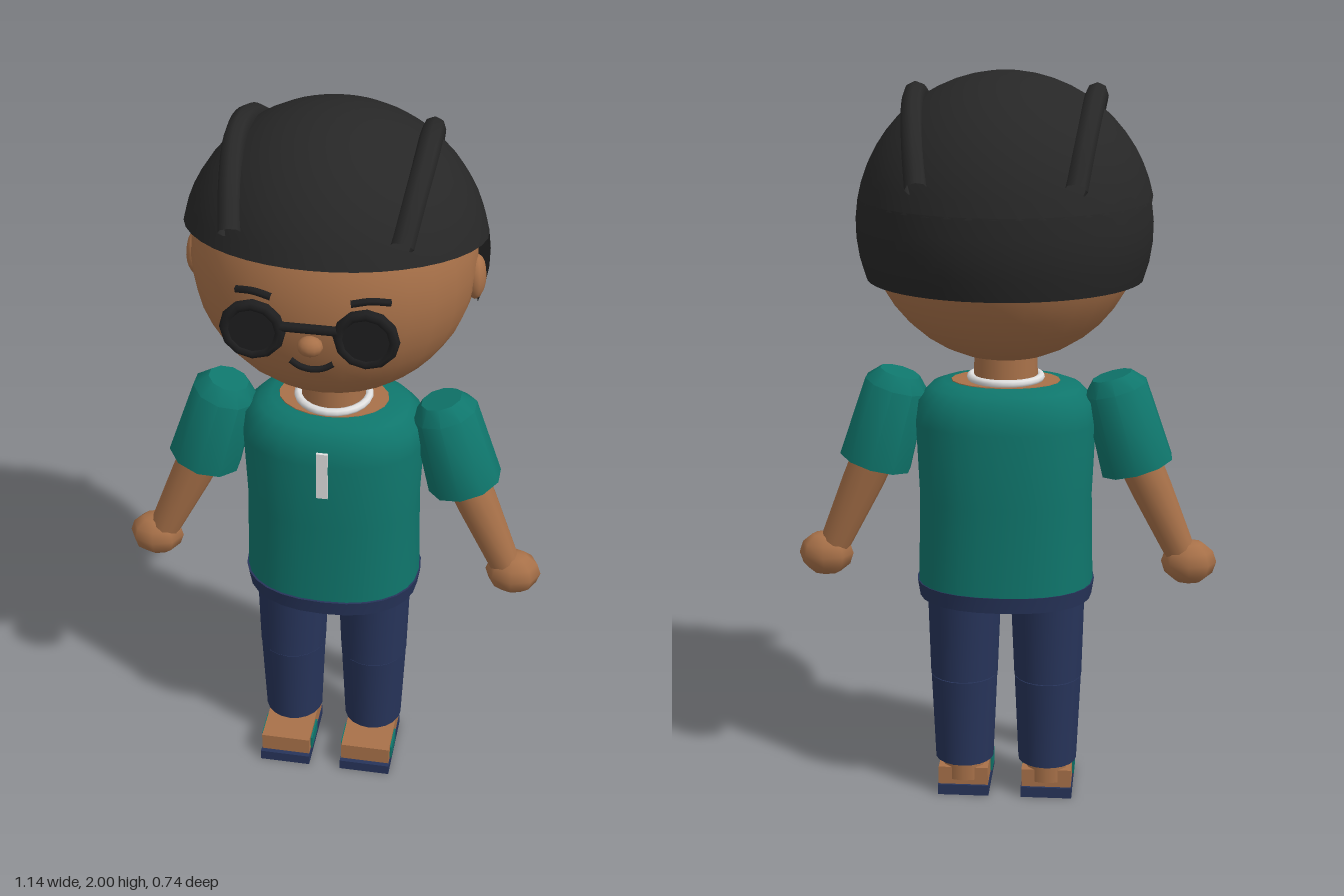
import * as THREE from 'three';
import { toCreasedNormals } from 'three/addons/utils/BufferGeometryUtils.js';

const mat = (name, color, side = THREE.FrontSide) => {
  const m = new THREE.MeshStandardMaterial({ color, side });
  m.name = name;
  return m;
};
const V = (x, y, z) => new THREE.Vector3(x, y, z);

// Smooth surface through rows of points
function grid(surfaces, crease = 0.8) {
  const pos = [], idx = [];
  for (const rows of surfaces) {
    const base = pos.length / 3, n = rows[0].length;
    rows.forEach(row => row.forEach(p => pos.push(p.x, p.y, p.z)));
    for (let r = 0; r < rows.length - 1; r++) for (let j = 0; j < n - 1; j++) {
      const a = base + r * n + j, b = a + 1, c = a + n, d = c + 1;
      idx.push(a, c, b, b, c, d);
    }
  }
  const g = new THREE.BufferGeometry();
  g.setAttribute('position', new THREE.Float32BufferAttribute(pos, 3));
  g.setIndex(idx);
  return toCreasedNormals(g, crease);
}

// Stack of rounded cross-sections [y, rx, rz, cx, cz], closed at both ends
function loft(sections, sides = 20, power = 2) {
  const first = sections[0], last = sections.at(-1);
  const all = [[first[0], 0, 0, first[3], first[4]], ...sections, [last[0], 0, 0, last[3], last[4]]];
  const bend = v => Math.sign(v) * Math.abs(v) ** (2 / power);
  return grid([all.map(([y, rx, rz, cx, cz]) => Array.from({ length: sides + 1 }, (_, j) => {
    const a = j / sides * Math.PI * 2;
    return V(cx + rx * bend(Math.cos(a)), y, cz + rz * bend(Math.sin(a)));
  }))]);
}

// Hair dome with a sloped fringe, and a longer skirt round the back
function hairGeometry() {
  const cy = 1.61, ry = 0.39, cut = -0.055, n = 40;
  const at = (a, y) => {
    const s = Math.sqrt(Math.max(0, 1 - ((y - cy) / ry) ** 2)), c = Math.cos(a);
    const rx = 0.388 - 0.02 * Math.max(0, c), rz = c > 0 ? 0.362 : 0.376;
    return V(rx * s * Math.sin(a), y, rz * s * c);
  };
  const dome = [], skirt = [];
  for (let r = 0; r <= 12; r++) {
    dome.push(Array.from({ length: n + 1 }, (_, j) => {
      const a = j / n * Math.PI * 2;
      let end = 1.7;
      for (let k = 0; k < 6; k++) end = 1.685 + 0.19 * Math.max(cut, at(a, end).z);
      const theta = r / 12 * Math.acos((end - cy) / ry);
      return at(a, cy + ry * Math.cos(theta));
    }));
  }
  for (let r = 0; r <= 4; r++) {
    const y = 1.68 - 0.21 * r / 4;
    const s = Math.sqrt(1 - ((y - cy) / ry) ** 2);
    const a0 = Math.PI / 2 + Math.asin(-cut / (0.376 * s));
    skirt.push(Array.from({ length: 25 }, (_, j) => at(a0 + (2 * Math.PI - 2 * a0) * j / 24, y)));
  }
  return grid([dome, skirt], 1);
}

export function createModel() {
  const skin = mat('skin', 0xa87149), hair = mat('hair', 0x272727, THREE.DoubleSide);
  const teal = mat('teal cloth', 0x0f766c, THREE.DoubleSide), navy = mat('navy cloth', 0x27345a);
  const light = mat('light trim', 0xe0e0e0), dark = mat('dark frames', 0x1e1e1f);
  const model = new THREE.Group();
  model.name = 'figure';

  const add = (name, geo, material, x = 0, y = 0, z = 0, parent = model) => {
    const m = new THREE.Mesh(geo, material);
    m.name = name;
    m.position.set(x, y, z);
    parent.add(m);
    return m;
  };
  const ball = (name, material, x, y, z, rx, ry, rz, w = 16, h = 12) =>
    add(name, new THREE.SphereGeometry(1, w, h).scale(rx, ry, rz), material, x, y, z);
  const tube = (name, material, pts, r, seg = 16, sides = 8) =>
    add(name, new THREE.TubeGeometry(new THREE.CatmullRomCurve3(pts.map(p => V(...p))), seg, r, sides), material);
  // Solid of revolution running from one point toward another
  const limb = (name, material, from, to, profile, sides) => {
    const pts = profile.map(([r, t]) => new THREE.Vector2(r, t)).reverse();
    const a = V(...from), b = V(...to), dir = b.clone().sub(a);
    pts.forEach(p => { p.y *= -dir.length(); });
    const m = add(name, toCreasedNormals(new THREE.LatheGeometry(pts, sides), 0.8), material, ...from);
    m.quaternion.setFromUnitVectors(V(0, -1, 0), dir.normalize());
  };

  // Head
  ball('head', skin, 0, 1.61, 0, 0.36, 0.36, 0.338, 28, 20);
  add('hair', hairGeometry(), hair);
  ball('nose', skin, 0, 1.545, 0.343, 0.032, 0.026, 0.026, 12, 8);
  tube('mouth', dark, [[-0.053, 1.486, 0.318], [-0.03, 1.472, 0.32], [0, 1.467, 0.322], [0.03, 1.472, 0.32], [0.053, 1.486, 0.318]], 0.008);
  add('glassesBridge', new THREE.CylinderGeometry(0.012, 0.012, 0.15, 8).rotateZ(Math.PI / 2), dark, 0, 1.6, 0.353);

  // Neck, upper chest and collar
  add('neck', new THREE.CylinderGeometry(0.083, 0.087, 0.14, 16), skin, 0, 1.21, 0.015);
  add('chest', loft([[1.15, 0.155, 0.115, 0, 0.012], [1.19, 0.145, 0.105, 0, 0.012]]), skin);
  add('collar', new THREE.TorusGeometry(0.093, 0.011, 8, 24).rotateX(Math.PI / 2), light, 0, 1.197, 0.015);

  // Shirt, zip, waistband and body underside
  add('shirt', loft([
    [0.625, 0.237, 0.184, 0, 0.011], [0.88, 0.232, 0.181, 0, 0.011], [1.08, 0.241, 0.183, 0, 0.011],
    [1.14, 0.233, 0.174, 0, 0.011], [1.175, 0.2, 0.148, 0, 0.011], [1.188, 0.165, 0.122, 0, 0.011],
  ], 28, 2.3), teal);
  add('zip', new THREE.BoxGeometry(0.03, 0.14, 0.008), light, 0, 1.055, 0.194);
  add('waistband', loft([[0.592, 0.234, 0.183, 0, 0.013], [0.636, 0.241, 0.188, 0, 0.013]], 28, 2.3), navy);
  add('bodyUnderside', loft([[0.575, 0.16, 0.1, 0, 0.013], [0.6, 0.205, 0.15, 0, 0.013]]), skin);

  for (const s of [1, -1]) {
    const side = s > 0 ? 'left' : 'right';
    // Ear, eye, brow, lens and hair strand
    ball(side + 'Ear', skin, s * 0.356, 1.575, 0, 0.025, 0.06, 0.042, 12, 10);
    ball(side + 'Eye', light, s * 0.135, 1.585, 0.31, 0.05, 0.045, 0.018);
    tube(side + 'Brow', dark, [[s * 0.095, 1.662, 0.326], [s * 0.14, 1.668, 0.316], [s * 0.185, 1.658, 0.297]], 0.01, 8, 6);
    add(side + 'Rim', new THREE.TorusGeometry(0.067, 0.014, 8, 12), dark, s * 0.137, 1.585, 0.352);
    add(side + 'Lens', new THREE.CylinderGeometry(0.06, 0.06, 0.018, 12).rotateX(Math.PI / 2), dark, s * 0.137, 1.585, 0.352);
    tube(side + 'Strand', hair, [
      [s * 0.205, 1.79, 0.265], [s * 0.22, 1.87, 0.18], [s * 0.232, 1.93, 0.07], [s * 0.232, 1.94, -0.01],
      [s * 0.225, 1.91, -0.12], [s * 0.21, 1.83, -0.235], [s * 0.195, 1.74, -0.31],
    ], 0.029, 24, 8);

    // Sleeve, arm and hand
    limb(side + 'Sleeve', teal, [s * 0.282, 1.205, 0.01], [s * 0.353, 0.957, 0.014],
      [[0, 0], [0.055, 0], [0.088, 0.14], [0.1, 1], [0, 1]], 10);
    limb(side + 'Arm', skin, [s * 0.335, 1.02, 0.016], [s * 0.478, 0.7, 0.034],
      [[0, 0], [0.06, 0], [0.055, 0.4], [0.041, 1], [0, 1]], 12);
    ball(side + 'Hand', skin, s * 0.497, 0.683, 0.033, 0.075, 0.062, 0.06, 8, 6);

    // Trouser leg in two pieces meeting at the knee
    add(side + 'Thigh', loft([[0.352, 0.093, 0.096, s * 0.116, 0.02], [0.615, 0.102, 0.103, s * 0.114, 0.017]]), navy);
    add(side + 'Shin', loft([[0.1, 0.081, 0.083, s * 0.116, 0.018], [0.349, 0.092, 0.094, s * 0.116, 0.02]]), navy);

    // Ankle, foot, straps and sole
    add(side + 'Ankle', new THREE.CylinderGeometry(0.06, 0.06, 0.08, 12), skin, s * 0.116, 0.085, 0.015);
    add(side + 'Foot', new THREE.BoxGeometry(0.138, 0.052, 0.2), skin, s * 0.116, 0.055, 0.065);
    for (const e of [1, -1])
      add(side + 'Strap', new THREE.BoxGeometry(0.008, 0.04, 0.08), teal, s * 0.116 + e * 0.07, 0.049, 0.1);
    add(side + 'Sole', new THREE.BoxGeometry(0.142, 0.03, 0.22), navy, s * 0.116, 0.015, 0.068);
  }
  return model;
}
